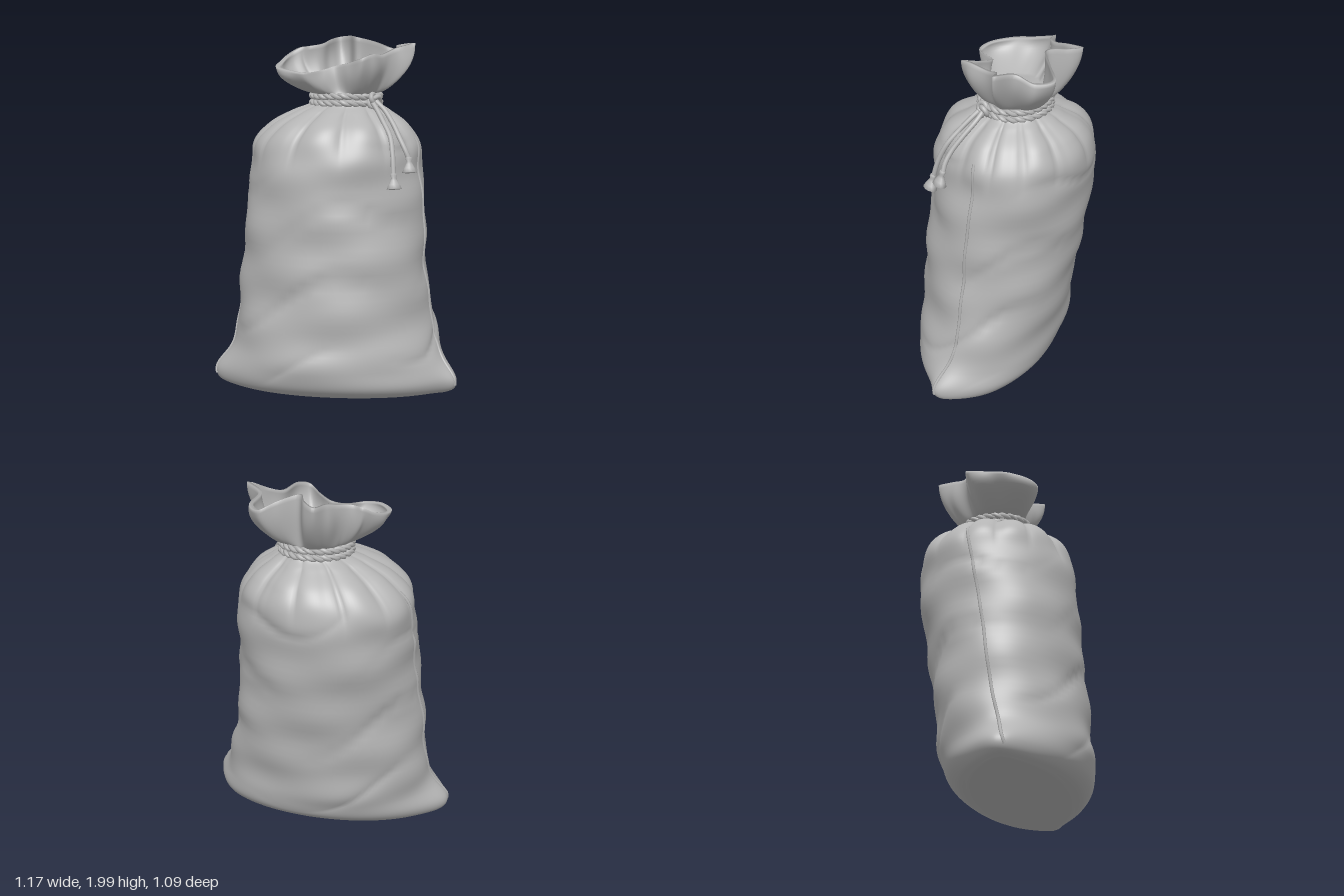
import * as THREE from 'three';

const cloth = new THREE.MeshStandardMaterial({ color: 0xb4b4b4 });
cloth.name = 'grey cloth';

const SEG = 160, H = Math.SQRT1_2, TAU = Math.PI * 2;
const V = (x, y, z) => new THREE.Vector3(x, y, z);
const gauss = (x, w) => Math.exp(-(x * x) / (w * w));
const step = THREE.MathUtils.smoothstep;
const lerp = THREE.MathUtils.lerp;
const MOUTH = V(-0.07, 1.73, -0.11);

// The bag is wide along the diagonal (u) and thinner across it (n).
const place = (u, n, y) => V((u + n) * H, y, (n - u) * H);

// Rows: height, half width, half depth, centre u, centre n
const PROFILE = [
  [0.0, 0.6, 0.27, 0.005, 0.025], [0.025, 0.635, 0.335, 0.005, 0.025], [0.08, 0.64, 0.39, 0.005, 0.02],
  [0.18, 0.61, 0.415, -0.005, 0.012], [0.4, 0.57, 0.42, -0.02, -0.02], [0.8, 0.525, 0.435, -0.025, -0.055],
  [1.2, 0.5, 0.445, -0.03, -0.1], [1.4, 0.475, 0.43, -0.025, -0.115], [1.51, 0.39, 0.37, -0.01, -0.115],
  [1.59, 0.265, 0.255, 0.01, -0.12], [1.635, 0.19, 0.19, 0.028, -0.127], [1.69, 0.18, 0.18, 0.028, -0.127],
];
const sizes = new THREE.CatmullRomCurve3(PROFILE.map(p => V(p[0], p[1], p[2])));
const centres = new THREE.CatmullRomCurve3(PROFILE.map(p => V(p[0], p[3], p[4])));

// Ruffled edge of the open mouth
const rim = new THREE.CatmullRomCurve3([
  [0.21, 1.97, -0.385], [0.15, 1.94, -0.3], [0.15, 1.91, -0.2], [0.2, 1.92, -0.08], [0.205, 1.9, 0],
  [0.1, 1.87, 0.01], [0.01, 1.85, 0.03], [-0.015, 1.83, 0.1], [-0.02, 1.82, 0.24], [-0.1, 1.83, 0.28],
  [-0.25, 1.84, 0.255], [-0.33, 1.86, 0.17], [-0.385, 1.9, 0.06], [-0.37, 1.93, 0], [-0.325, 1.94, -0.04],
  [-0.31, 1.95, -0.12], [-0.33, 1.97, -0.2], [-0.37, 1.98, -0.3], [-0.29, 1.99, -0.31], [-0.17, 1.99, -0.27],
  [-0.13, 1.96, -0.38], [-0.1, 1.92, -0.485], [0.01, 1.92, -0.475], [0.08, 1.95, -0.38],
].map(p => V(...p)), true);

// Soft creases over the filled part
function wrinkle(a, y) {
  const fade = step(y, 0.03, 0.25) * (1 - step(y, 1.3, 1.5));
  const ridge = (s, p) => Math.pow(1 - Math.abs(Math.sin(s)), p);
  return fade * (
    0.006 * Math.sin(3 * a + 7 * y) + 0.005 * Math.sin(5 * a - 13 * y + 1) +
    0.005 * Math.sin(2 * a + 23 * y) + 0.002 -
    0.016 * ridge(a + 8 * y + 0.8 * Math.sin(3 * a), 3) * (0.5 + 0.5 * Math.sin(3 * a + 4 * y)));
}

// Gathered pleats below the cord
function pleat(a, y) {
  const k = step(y, 1.26, 1.54) * (1 - 0.75 * step(y, 1.57, 1.64));
  const s = Math.abs(Math.sin(6.5 * a + 0.6 * Math.sin(2 * a)));
  const t = Math.abs(Math.sin(4 * a + 1));
  return k * (0.04 * (Math.sqrt(s) - 0.75) + 0.02 * (t - 0.6));
}

function bodyPoint(t, a) {
  const s = sizes.getPoint(t), c = centres.getPoint(t), y = s.x;
  const d = wrinkle(a, y) + pleat(a, y);
  // Bottom corners stick out as blunt ears, the left one turned forwards
  const left = Math.cos(a) > 0;
  const ear = gauss(y - 0.07, 0.12) * gauss(Math.sin(a), left ? 0.32 : 0.38);
  const u = (s.y + d + (left ? 0.045 : 0.085) * ear) * Math.cos(a);
  const n = (s.z + d) * Math.sin(a) + (left ? 0.09 : 0) * ear;
  return place(c.y + u, c.z + n, Math.max(0, y));
}

// Mouth wall: swells out quickly above the cord, then rises to the rim
function flarePoint(s, a, inset) {
  const from = bodyPoint(1, a), to = rim.getPoint((a / TAU) % 1);
  const w = Math.pow(s, 0.5);
  const swell = 1 + Math.sin(Math.PI * s) * (0.1 * w + 0.04 * Math.sin(11 * a));
  const p = V(lerp(from.x, to.x, w), lerp(from.y, to.y, s), lerp(from.z, to.z, w));
  p.x = lerp(MOUTH.x, p.x, swell - inset);
  p.z = lerp(MOUTH.z, p.z, swell - inset);
  return p;
}

// Skins a stack of closed loops, each given as a function of angle
function loft(loops) {
  const pos = [], idx = [];
  loops.forEach((f, i) => {
    for (let j = 0; j < SEG; j++) {
      pos.push(...f((j / SEG) * TAU).toArray());
      if (i === loops.length - 1) continue;
      const a = i * SEG + j, b = i * SEG + ((j + 1) % SEG), c = a + SEG, d = b + SEG;
      idx.push(a, c, b, b, c, d);
    }
  });
  const g = new THREE.BufferGeometry();
  g.setAttribute('position', new THREE.Float32BufferAttribute(pos, 3));
  g.setIndex(idx);
  g.computeVertexNormals();
  return g;
}

export function createModel() {
  const group = new THREE.Group();
  group.name = 'drawstringSack';
  const add = (name, geometry, parent = group) => {
    const m = new THREE.Mesh(geometry, cloth);
    m.name = name;
    parent.add(m);
    return m;
  };

  // Filled body, closed underneath
  const base = place(0, 0.02, 0);
  const body = [() => base, a => bodyPoint(0, a).lerp(base, 0.04)];
  const ROWS = 96;
  for (let i = 0; i <= ROWS; i++) body.push(a => bodyPoint(i / ROWS, a));
  add('sackBody', loft(body));

  // Ruffled mouth with an inner lining and a gathered floor
  const ruff = [];
  for (let i = 0; i <= 16; i++) ruff.push(a => flarePoint((i / 16) ** 1.5, a, 0));
  for (let i = 16; i >= 3; i--) ruff.push(a => flarePoint((i / 16) ** 1.5, a, 0.06 + 0.2 * (1 - i / 16) ** 2));
  ruff.push(() => MOUTH);
  add('ruffledMouth', loft(ruff));

  // Side seams
  for (const [name, low, high] of [['leftSeam', 0.1, 0.22], ['rightSeam', Math.PI - 0.1, Math.PI + 0.2]]) {
    const pts = [];
    for (let i = 0; i <= 30; i++) pts.push(bodyPoint(0.14 + 0.53 * i / 30, lerp(low, high, i / 30)));
    add(name, new THREE.TubeGeometry(new THREE.CatmullRomCurve3(pts), 60, 0.009, 6));
  }

  // Two turns of twisted cord around the neck
  for (const y of [1.637, 1.676]) {
    for (const phase of [0, Math.PI]) {
      const pts = [];
      for (let i = 0; i < 160; i++) {
        const a = (i / 160) * TAU, q = a * 13 + phase;
        const r = 0.193 + 0.008 * Math.cos(q);
        pts.push(V(MOUTH.x + r * Math.cos(a), y + 0.008 * Math.sin(q) + 0.006 * Math.sin(2 * a),
          MOUTH.z + r * Math.sin(a)));
      }
      add('neckCord', new THREE.TubeGeometry(new THREE.CatmullRomCurve3(pts, true), 240, 0.013, 6, true));
    }
  }

  // Knot
  const knot = add('knot', new THREE.TorusKnotGeometry(0.026, 0.014, 64, 8, 2, 3));
  knot.position.set(0.145, 1.655, -0.14);
  knot.rotation.y = Math.PI / 2;

  // Hanging cord ends with flared tassels
  const ends = [
    [[0.15, 1.65, -0.12], [0.2, 1.61, -0.115], [0.27, 1.545, -0.105], [0.34, 1.47, -0.095], [0.385, 1.37, -0.075], [0.41, 1.27, -0.06]],
    [[0.15, 1.65, -0.15], [0.2, 1.61, -0.165], [0.28, 1.535, -0.165], [0.345, 1.46, -0.16], [0.385, 1.4, -0.165], [0.405, 1.35, -0.175]],
  ];
  const tasselProfile = [[0, 0], [0.016, 0], [0.021, -0.012], [0.015, -0.026], [0.022, -0.04], [0.034, -0.062],
    [0.046, -0.085], [0.03, -0.088], [0, -0.082]].map(p => new THREE.Vector2(...p)).reverse();
  for (const path of ends) {
    const pts = path.map(p => V(...p)), tip = pts[pts.length - 1];
    const end = new THREE.Group();
    end.name = 'cordEnd';
    group.add(end);
    add('hangingCord', new THREE.TubeGeometry(new THREE.CatmullRomCurve3(pts), 40, 0.014, 8), end);
    const tassel = add('tassel', new THREE.LatheGeometry(tasselProfile, 14), end);
    tassel.position.copy(tip).add(V(0, 0.012, 0));
    tassel.rotation.set(-0.1, 0, 0.2);
    tassel.scale.x = 0.8;
  }
  return group;
}
